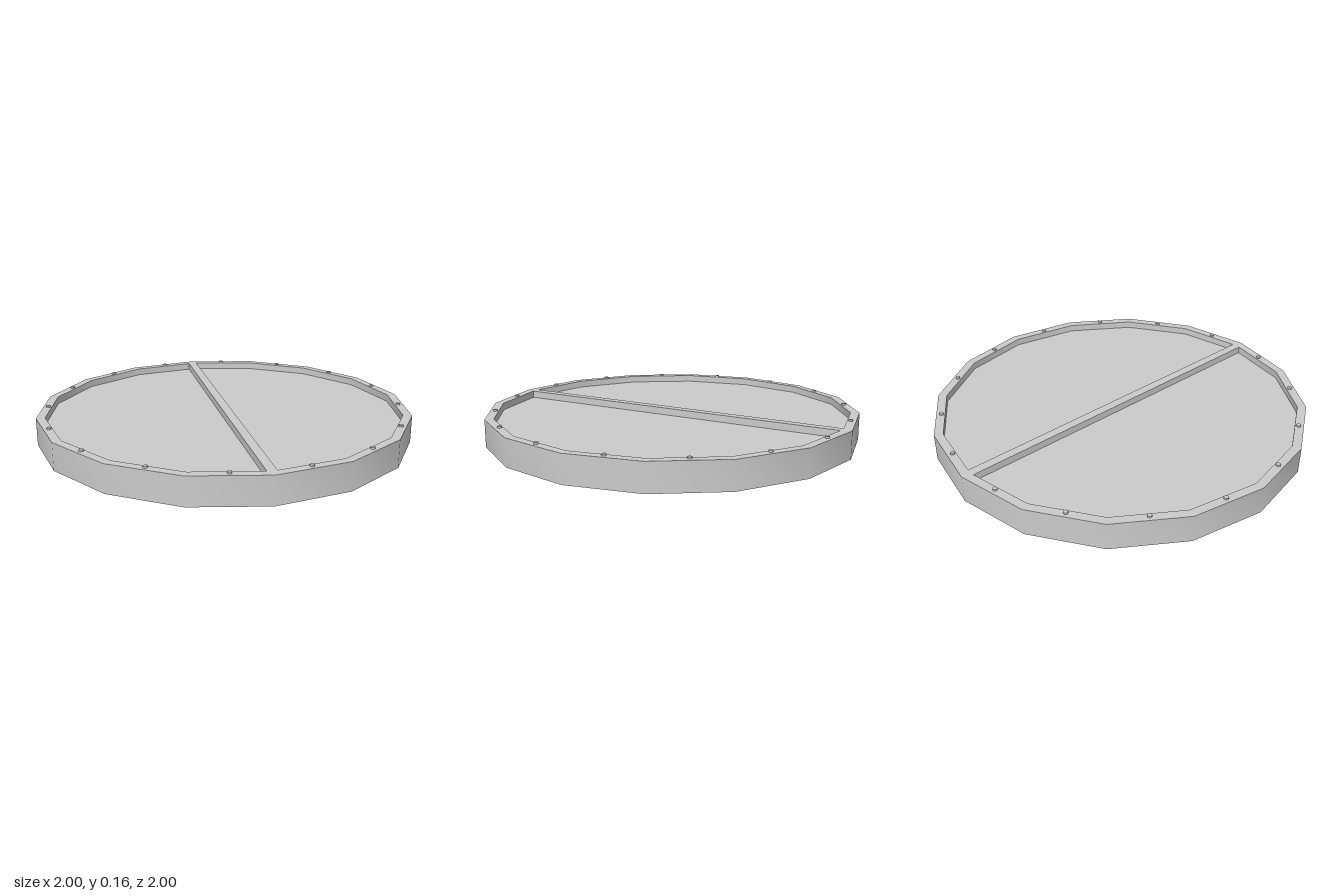
import * as THREE from 'three';
import { toCreasedNormals } from 'three/addons/utils/BufferGeometryUtils.js';

const SIDES = 16;
const HEIGHT = 0.146;
const OUTER = 1;
const INNER = 0.953;
const BAR = 0.024; // half width of the central bar
const RECESS = 0.038;

export function createModel() {
  const group = new THREE.Group();
  group.name = 'roundHatch';
  const material = new THREE.MeshStandardMaterial({ color: 0xcccccc });

  const add = (name, geometry, y = 0) => {
    const mesh = new THREE.Mesh(geometry, material);
    mesh.name = name;
    mesh.position.y = y;
    group.add(mesh);
    return mesh;
  };
  const corner = (r, i) => {
    const a = (i / SIDES) * Math.PI * 2;
    return new THREE.Vector2(r * Math.cos(a), r * Math.sin(a));
  };

  // Rim and central bar: a polygon with two half-round openings
  const outline = new THREE.Shape(Array.from({ length: SIDES }, (_, i) => corner(OUTER, i)));
  const endZ = INNER - BAR * Math.tan(Math.PI / SIDES);
  for (const side of [1, -1]) {
    const points = [new THREE.Vector2(side * BAR, -endZ)];
    for (let i = -3; i <= 3; i++) {
      const p = corner(INNER, i);
      points.push(new THREE.Vector2(side * p.x, p.y));
    }
    points.push(new THREE.Vector2(side * BAR, endZ));
    outline.holes.push(new THREE.Path(points));
  }
  const frame = new THREE.ExtrudeGeometry(outline, { depth: HEIGHT, bevelEnabled: false });
  frame.rotateX(-Math.PI / 2);
  add('frame', toCreasedNormals(frame, Math.PI / 6));

  // Panel set back from both faces of the frame
  const thickness = HEIGHT - 2 * RECESS;
  add('panel', new THREE.CylinderGeometry(INNER + 0.005, INNER + 0.005, thickness, SIDES), HEIGHT / 2);

  // Small studs at the middle of each rim edge
  const stud = new THREE.CylinderGeometry(0.012, 0.012, 0.02, 8);
  for (let i = 0; i < SIDES; i++) {
    const p = corner(0.953, i + 0.5);
    const mesh = add('stud', stud, HEIGHT - 0.001);
    mesh.position.x = p.x;
    mesh.position.z = p.y;
  }
  return group;
}
